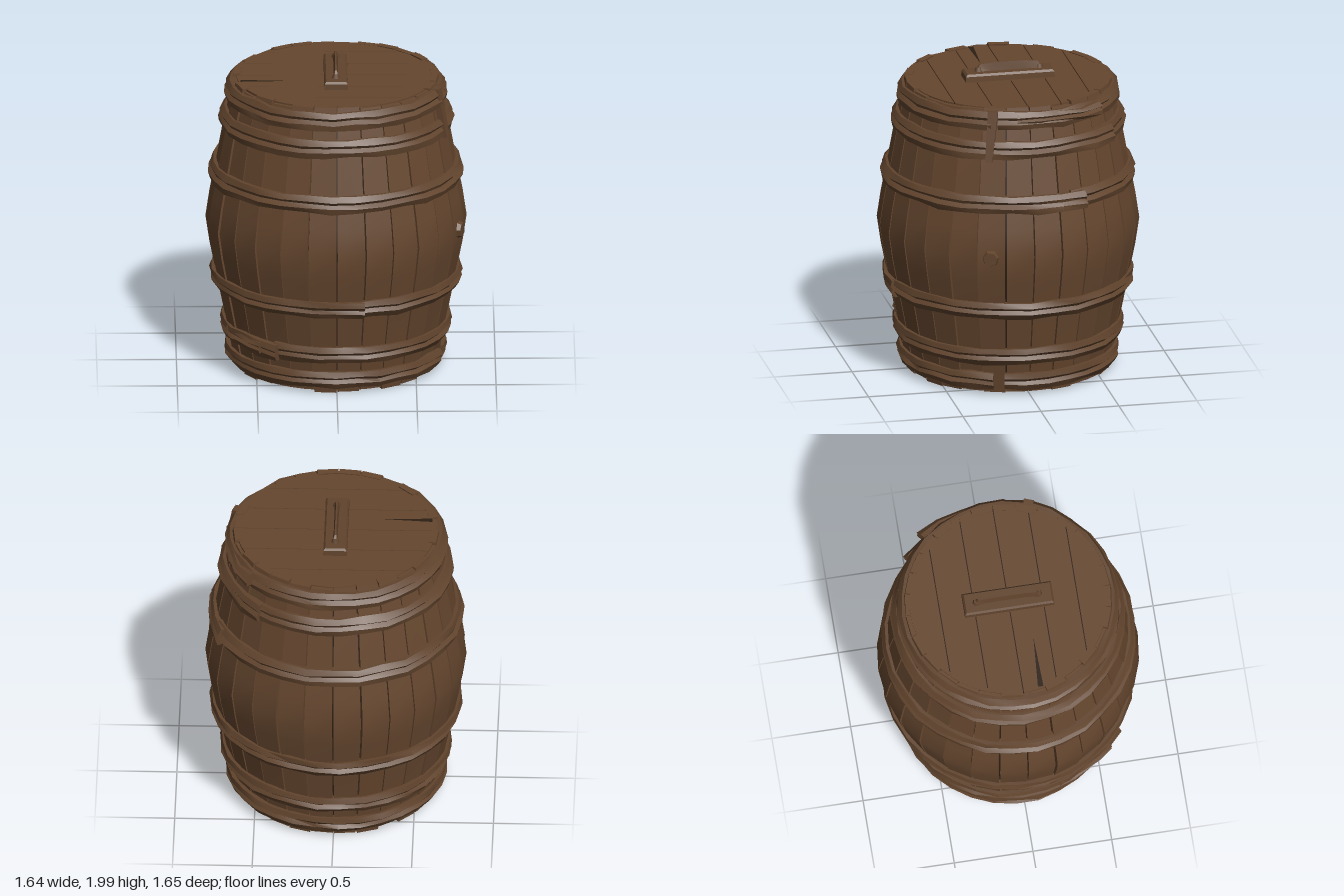
import * as THREE from 'three';
import { toCreasedNormals } from 'three/addons/utils/BufferGeometryUtils.js';

const TAU = Math.PI * 2, STAVES = 28;

function seeded(seed) {
  return () => {
    seed = (seed * 16807) % 2147483647;
    return seed / 2147483647;
  };
}

// Closed cross-sections joined in order, with capped ends
function loft(sections, crease = 0.5) {
  const n = sections[0].length, pos = [], idx = [];
  sections.forEach(s => s.forEach(p => pos.push(p[0], p[1], p[2])));
  for (let i = 0; i < sections.length - 1; i++) {
    for (let j = 0; j < n; j++) {
      const k = (j + 1) % n, a = i * n + j, b = i * n + k;
      idx.push(a, b, b + n, a, b + n, a + n);
    }
  }
  const last = (sections.length - 1) * n;
  for (let k = 1; k < n - 1; k++) {
    idx.push(0, k + 1, k, last, last + k, last + k + 1);
  }
  const g = new THREE.BufferGeometry();
  g.setAttribute('position', new THREE.Float32BufferAttribute(pos, 3));
  g.setIndex(idx);
  return toCreasedNormals(g, crease);
}

const around = (r, a, y) => [r * Math.sin(a), y, r * Math.cos(a)];

// Bulging outline of the barrel: [height, radius]
const PROFILE = [[0.01, 0.645], [0.3, 0.695], [0.6, 0.755], [0.8, 0.795], [0.97, 0.82],
  [1.14, 0.795], [1.32, 0.76], [1.62, 0.705], [1.91, 0.645]];
function radiusAt(y) {
  for (let i = 1; i < PROFILE.length; i++) {
    const [y0, r0] = PROFILE[i - 1], [y1, r1] = PROFILE[i];
    if (y <= y1) return r0 + (r1 - r0) * (y - y0) / (y1 - y0);
  }
  return 0.645;
}

export function createModel() {
  const rnd = seeded(4217);
  const wood = new THREE.MeshStandardMaterial({ color: 0x66472f });
  wood.name = 'brown wood';
  const hoopWood = new THREE.MeshStandardMaterial({ color: 0x61442d });
  hoopWood.name = 'hoop wood';
  const dark = new THREE.MeshStandardMaterial({ color: 0x2c1e13 });
  dark.name = 'dark gaps';

  const barrel = new THREE.Group();
  barrel.name = 'barrel';
  const add = (geometry, material, name, parent = barrel) => {
    const m = new THREE.Mesh(geometry, material);
    m.name = name;
    parent.add(m);
    return m;
  };

  // Staves, each with slightly uneven ends and edges
  const staves = new THREE.Group();
  staves.name = 'staves';
  barrel.add(staves);
  for (let i = 0; i < STAVES; i++) {
    const a0 = i / STAVES * TAU + 0.004 + rnd() * 0.004;
    const a1 = (i + 1) / STAVES * TAU - 0.004 - rnd() * 0.004;
    const low = rnd() * 0.025, high = rnd() * 0.025, out = (rnd() - 0.5) * 0.008;
    const rows = PROFILE.map(([y, r], k) => {
      const yy = k === 0 ? y + low : k === PROFILE.length - 1 ? y - high : y;
      const R = r + out, q = r - 0.045;
      return [around(R, a0, yy), around(R, a1, yy), around(q, a1, yy), around(q, a0, yy)];
    });
    add(loft(rows), wood, 'stave', staves);
  }

  // Dark lining behind the gaps
  const lining = PROFILE.map(([y, r]) =>
    new THREE.Vector2(r - 0.035, THREE.MathUtils.clamp(y, 0.05, 1.87)));
  add(new THREE.LatheGeometry(lining, STAVES), dark, 'lining');

  // Rough hoops: double-ridged strips whose loose ends lift or overlap
  const hoops = new THREE.Group();
  hoops.name = 'hoops';
  barrel.add(hoops);
  function hoop(y, start, sweep, lift, height = 0.11) {
    const steps = Math.max(4, Math.round(sweep / TAU * 30)), rows = [], h = height / 2;
    for (let i = 0; i <= steps; i++) {
      const a = start + sweep * i / steps;
      const left = steps - i;
      const raise = left < 2 ? lift * (2 - left) / 2 : 0;
      const j = (s) => (rnd() - 0.5) * s;
      const yc = y + j(0.012);
      const bottom = yc - h + j(0.014), top = yc + h + j(0.014);
      const p = (d, yy) => around(radiusAt(yy) + d + raise, a, yy);
      rows.push([
        p(-0.02, bottom), p(-0.02, top), p(0.018 + j(0.012), top), p(0.034 + j(0.014), yc + h * 0.4),
        p(0.016 + j(0.01), yc + h * 0.05), p(0.036 + j(0.014), yc - h * 0.35), p(0.02 + j(0.012), bottom),
      ]);
    }
    add(loft(rows, 0.6), hoopWood, 'hoop', hoops);
  }
  hoop(0.105, 1.33, TAU - 0.1, 0.01);
  hoop(0.275, -0.58, TAU + 0.04, 0.035);
  hoop(0.60, 0.1, TAU + 0.12, 0.018);
  hoop(1.305, 1.9, TAU + 0.12, 0.018);
  hoop(1.65, 2.35, TAU + 0.1, 0.02);
  hoop(1.825, 1.27, TAU - 0.06, 0.012);

  // Second layers that peel away at one end
  hoop(1.835, 1.45, 0.85, 0.045, 0.07);
  hoop(0.285, -1.25, 0.55, 0.04, 0.08);

  // Loose strip hanging over the upper hoops
  const strip = [1.58, 1.66, 1.74, 1.82, 1.89].map((y, i) => {
    const r = radiusAt(y) + 0.03, w = 0.03 + i * 0.004, a = 1.2 + i * 0.006;
    return [around(r + 0.012, a - w, y), around(r + 0.012, a + w, y),
      around(r - 0.04, a + w, y), around(r - 0.04, a - w, y)];
  });
  add(loft(strip), hoopWood, 'looseStrip');

  // Bung in the side
  const bung = add(new THREE.CylinderGeometry(0.045, 0.062, 0.05, 7).toNonIndexed(), hoopWood, 'bung');
  bung.geometry.computeVertexNormals();
  bung.position.set(...around(0.815, 1.23, 0.965));
  bung.rotation.set(Math.PI / 2, 0, -1.23, 'YXZ');
  bung.rotation.set(Math.PI / 2, 1.23, 0, 'YXZ');

  // Planked disc used for both ends
  function plankedEnd(name, y) {
    const end = new THREE.Group();
    end.name = name;
    const R = 0.622, w = 0.2175;
    for (let i = -3; i < 3; i++) {
      const z0 = Math.max(i * w + 0.003, -R + 0.002), z1 = Math.min((i + 1) * w - 0.003, R - 0.002);
      const side = [];
      for (let k = 0; k <= 6; k++) {
        const z = z0 + (z1 - z0) * k / 6;
        side.push(new THREE.Vector2(Math.sqrt(R * R - z * z), z));
      }
      const mirrored = side.map(p => new THREE.Vector2(-p.x, p.y)).reverse();
      const g = new THREE.ExtrudeGeometry(new THREE.Shape([...side, ...mirrored]),
        { depth: 0.04, bevelEnabled: false });
      g.rotateX(Math.PI / 2);
      add(g, wood, 'plank', end);
    }
    const backing = add(new THREE.CylinderGeometry(0.615, 0.615, 0.02, 28), dark, 'plankGaps', end);
    backing.position.y = -0.02;
    end.position.y = y;
    barrel.add(end);
    return end;
  }
  const lid = plankedEnd('lid', 1.9);
  const base = plankedEnd('base', 0.06);

  // Long splits in the end planks
  const split = new THREE.ShapeGeometry(new THREE.Shape([
    new THREE.Vector2(-0.6, -0.095), new THREE.Vector2(-0.6, -0.13), new THREE.Vector2(-0.27, -0.118),
  ]));
  split.rotateX(-Math.PI / 2);
  const splitMaterial = dark.clone();
  splitMaterial.side = THREE.DoubleSide;
  add(split, splitMaterial, 'split', lid).position.y = 0.002;
  add(split, splitMaterial, 'split', base).position.y = -0.042;

  // Handle: plate, wedge-shaped grip and two pegs
  const handle = new THREE.Group();
  handle.name = 'handle';
  barrel.add(handle);
  const plate = [[1.89, 0.075, 0.285], [1.935, 0.073, 0.283], [1.948, 0.062, 0.272]].map(([y, x, z]) =>
    [[-x, y, z], [x, y, z], [x, y, -z], [-x, y, -z]]);
  add(loft(plate, 0.3), hoopWood, 'handlePlate', handle);
  const grip = [[-0.215, 1.96, 0.024], [-0.19, 1.992, 0.02], [-0.1, 2, 0.015], [0.1, 2, 0.015],
    [0.18, 1.992, 0.02], [0.205, 1.96, 0.024]].map(([z, top, w]) =>
    [[-w, 1.94, z], [w, 1.94, z], [w * 0.35, top, z], [-w * 0.35, top, z]]);
  add(loft(grip), hoopWood, 'grip', handle);
  for (const z of [-0.2, 0.19]) {
    add(new THREE.CylinderGeometry(0.018, 0.028, 0.03, 8), hoopWood, 'peg', handle)
      .position.set(0, 1.957, z);
  }
  return barrel;
}
